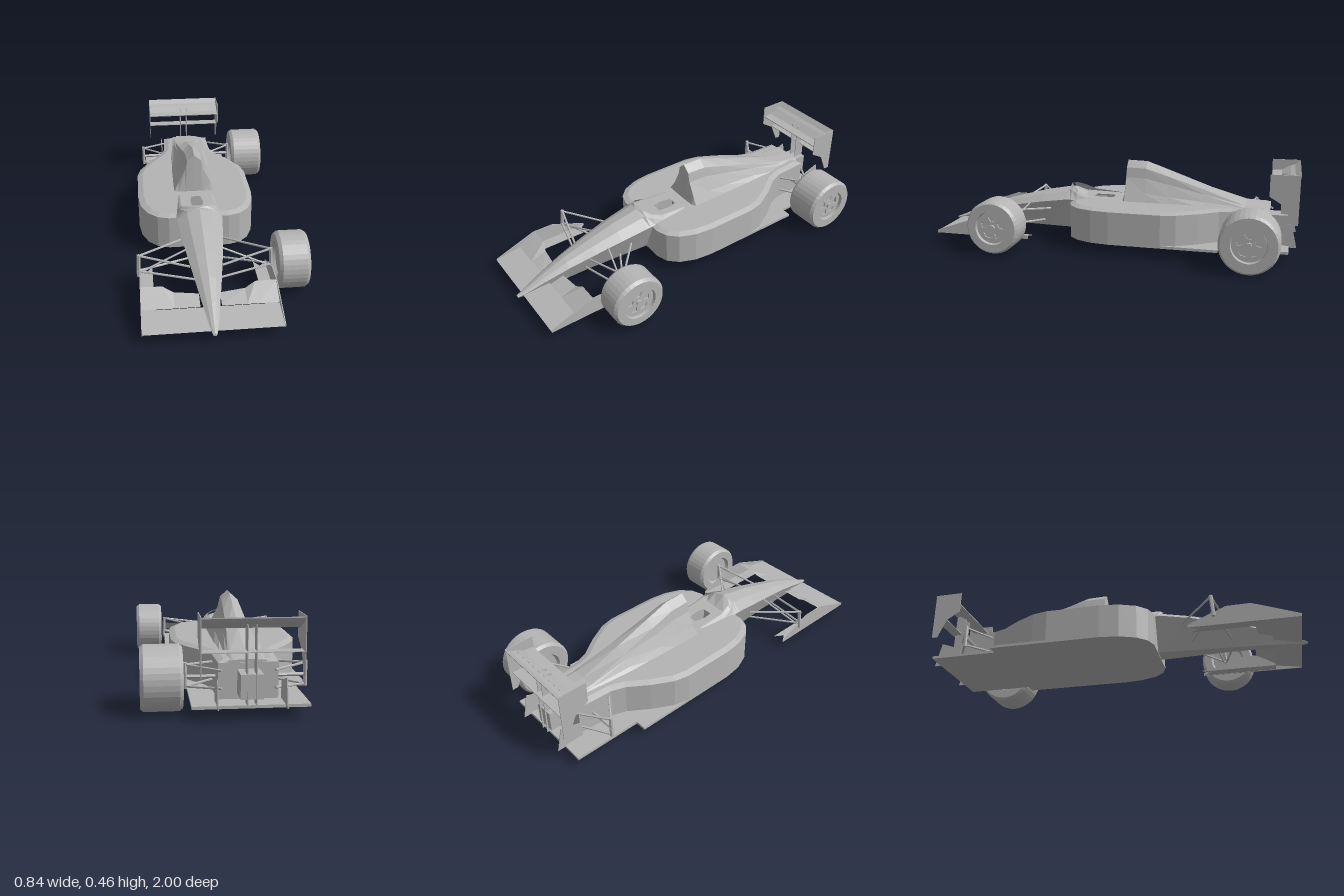
import * as THREE from 'three';

const grey = new THREE.MeshStandardMaterial({ color: 0xb4b4b4, flatShading: true, side: THREE.DoubleSide });
grey.name = 'body grey';

function add(parent, name, geometry, x = 0, y = 0, z = 0) {
  const mesh = new THREE.Mesh(geometry, grey);
  mesh.name = name;
  mesh.position.set(x, y, z);
  parent.add(mesh);
  return mesh;
}

// Skin stretched over cross-sections with equal point counts
function loft(rings, closed, capped) {
  const n = rings[0].length, index = [];
  for (let i = 0; i + 1 < rings.length; i++) {
    for (let j = 0; j < (closed ? n : n - 1); j++) {
      const a = i * n + j, b = i * n + (j + 1) % n;
      index.push(a, b, a + n, b, b + n, a + n);
    }
  }
  if (capped) {
    const last = (rings.length - 1) * n;
    for (let j = 1; j + 1 < n; j++) index.push(0, j + 1, j, last, last + j, last + j + 1);
  }
  const g = new THREE.BufferGeometry();
  g.setAttribute('position', new THREE.Float32BufferAttribute(rings.flat(2), 3));
  g.setIndex(index);
  g.computeVertexNormals();
  return g;
}

// Symmetric outline from its +x half, listed front to back
function mirrored(half) {
  const other = half.map(([x, z]) => [-x, z]).reverse();
  return new THREE.Shape([...half, ...other].map(p => new THREE.Vector2(...p)));
}

// Plan outline (x, z) extruded down from a given top
function planSlab(shape, top, height, bevel) {
  const options = bevel
    ? { depth: height - 0.024, bevelEnabled: true, bevelSize: bevel, bevelOffset: -bevel, bevelThickness: 0.012, bevelSegments: 1 }
    : { depth: height, bevelEnabled: false };
  const g = new THREE.ExtrudeGeometry(shape, options);
  return g.rotateX(Math.PI / 2).translate(0, bevel ? top - 0.012 : top, 0);
}

// Thin upright plate from a side outline (z, y)
function sidePlate(points) {
  const shape = new THREE.Shape(points.map(([z, y]) => new THREE.Vector2(-z, y)));
  return new THREE.ExtrudeGeometry(shape, { depth: 0.004, bevelEnabled: false })
    .translate(0, 0, -0.002).rotateY(Math.PI / 2);
}

function rod(parent, name, from, to, radius = 0.006) {
  const a = new THREE.Vector3(...from), b = new THREE.Vector3(...to);
  const mesh = add(parent, name, new THREE.CylinderGeometry(radius, radius, a.distanceTo(b), 6));
  mesh.position.copy(a).add(b).multiplyScalar(0.5);
  mesh.quaternion.setFromUnitVectors(new THREE.Vector3(0, 1, 0), b.sub(a).normalize());
}

function makeWheel(name, r, width) {
  const wheel = new THREE.Group(), w = width / 2;
  wheel.name = name;
  const profile = [[0, 0.02 - w], [0.08, 0.02 - w], [0.09, -w], [r - 0.012, -w], [r, 0.016 - w],
    [r, w - 0.016], [r - 0.012, w], [0.09, w], [0.083, w - 0.045], [0, w - 0.045]];
  const tyre = new THREE.LatheGeometry(profile.map(p => new THREE.Vector2(...p)), 36);
  add(wheel, 'tyre', tyre.rotateZ(-Math.PI / 2));
  // Rim disc with five openings
  const disc = new THREE.Shape().absarc(0, 0, 0.086, 0, Math.PI * 2);
  for (let i = 0; i < 5; i++) {
    const t = i * Math.PI * 0.4 + Math.PI / 2;
    const corner = (radius, d) => new THREE.Vector2(radius * Math.cos(t + d), radius * Math.sin(t + d));
    disc.holes.push(new THREE.Path([corner(0.034, -0.3), corner(0.06, -0.42), corner(0.066, 0), corner(0.06, 0.42), corner(0.034, 0.3)]));
  }
  const rim = new THREE.ExtrudeGeometry(disc, { depth: 0.008, bevelEnabled: false, curveSegments: 24 });
  add(wheel, 'rim', rim.rotateY(Math.PI / 2), w - 0.024);
  add(wheel, 'wheelNut', new THREE.CylinderGeometry(0.014, 0.016, 0.014, 8).rotateZ(-Math.PI / 2), w - 0.012);
  return wheel;
}

export function createModel() {
  const model = new THREE.Group();
  model.name = 'openWheelRaceCar';
  const car = new THREE.Group();
  car.name = 'car';
  car.position.x = -0.08;
  model.add(car);

  // Floor and side pods
  const front = [[0.16, 0.235], [0.22, 0.215], [0.27, 0.165], [0.305, 0.08], [0.318, -0.02]];
  add(car, 'floor', planSlab(mirrored([...front, [0.318, -0.6], [0.26, -0.6], [0.26, -0.955]]), 0.069, 0.014));
  const podShape = mirrored([...front, [0.318, -0.3], [0.3, -0.38], [0.24, -0.49], [0.17, -0.59], [0.145, -0.66], [0.135, -0.85]]);
  podShape.holes.push(new THREE.Path([[-0.055, 0.16], [0.055, 0.16], [0.065, 0.08], [0.05, -0.01], [-0.05, -0.01], [-0.065, 0.08]]
    .map(p => new THREE.Vector2(...p))));
  add(car, 'sidePods', planSlab(podShape, 0.246, 0.19, 0.03));

  // Nose: [z, half width, top, shoulder, bottom, half keel]
  const nose = [[0.19, 0.12, 0.245, 0.235, 0.06, 0.05], [0.26, 0.12, 0.295, 0.24, 0.06, 0.05],
    [0.42, 0.105, 0.265, 0.215, 0.06, 0.04], [0.57, 0.085, 0.225, 0.185, 0.06, 0.03],
    [0.72, 0.062, 0.182, 0.15, 0.058, 0.025], [0.85, 0.04, 0.13, 0.11, 0.055, 0.02],
    [0.95, 0.022, 0.085, 0.075, 0.052, 0.012], [1.0, 0.01, 0.064, 0.06, 0.054, 0.006]];
  add(car, 'nose', loft(nose.map(([z, w, top, mid, bot, k]) => {
    const high = mid + (top - mid) * 0.68;
    return [[0, top, z], [-w * 0.55, high, z], [-w, mid, z], [-k, bot, z],
      [k, bot, z], [w, mid, z], [w * 0.55, high, z]];
  }), true, true));

  // Cockpit rim sweeping back from the windscreen
  for (const s of [1, -1]) {
    const rim = [[0.27, 0.12, 0, 0.31], [0.25, 0.12, 0.04, 0.306], [0.215, 0.12, 0.08, 0.288], [0.15, 0.115, 0.09, 0.262], [0.0, 0.1, 0.085, 0.25]];
    add(car, 'cockpitRim', loft(rim.map(([z, w, x, y]) => [[s * w, 0.24, z], [s * (w + x) / 2, (y * 2 + 0.24) / 3, z], [s * x, y, z]]), false, false));
  }

  // Engine cover: [z, half width, top, upper roundness]
  const cover = [[-0.045, 0.12, 0.25, 0.33], [-0.06, 0.12, 0.46, 0.33], [-0.17, 0.12, 0.457, 0.36], [-0.3, 0.12, 0.412, 0.4],
    [-0.5, 0.12, 0.341, 0.48], [-0.72, 0.12, 0.264, 0.55], [-0.85, 0.115, 0.248, 0.6]];
  add(car, 'engineCover', loft(cover.map(([z, w, top, k]) => {
    const side = [[k, 0.84], [k + 0.1, 0.6], [0.76, 0.25], [1, 0]];
    const point = ([x, h], s) => [s * w * x, 0.235 + h * (top - 0.235), z];
    return [...side.map(p => point(p, 1)).reverse(), [0, top, z], ...side.map(p => point(p, -1))];
  }), true, true));
  add(car, 'gearbox', new THREE.BoxGeometry(0.1, 0.11, 0.12), 0, 0.15, -0.9);

  // Front wing with a raised flap on each side
  const wing = [[0.97, 0.066], [0.83, 0.088]];
  add(car, 'frontWing', loft(wing.map(([z, y]) => [[-0.323, y, z], [0.323, y, z]]), false, false));
  add(car, 'frontWingUnderside', loft(wing.map(([z, y]) => [[-0.323, y - 0.008, z], [0.323, y - 0.008, z]]), false, false));
  for (const s of [1, -1]) {
    const flap = [[0.323, 0.73, 0.15], [0.22, 0.73, 0.148], [0.17, 0.745, 0.122], [0.05, 0.755, 0.113]];
    add(car, 'frontFlap', loft(flap.map(([x, z, y]) => [[s * x, 0.092, 0.832], [s * x, y, z]]), false, false));
    add(car, 'frontEndPlate', sidePlate([[0.97, 0.055], [0.97, 0.07], [0.74, 0.152], [0.62, 0.15], [0.43, 0.07], [0.43, 0.055]]), s * 0.323);
    const foot = new THREE.Shape([[0.323, 0.83], [0.26, 0.83], [0.26, 0.43], [0.29, 0.475], [0.323, 0.43]].map(([x, z]) => new THREE.Vector2(s * x, z)));
    add(car, 'frontFootPlate', planSlab(foot, 0.062, 0.005));

    // Front suspension
    const hub = [s * 0.325, 0.21, 0.55], low = [s * 0.335, 0.13, 0.56];
    rod(car, 'frontUpperArm', hub, [s * 0.11, 0.18, 0.37]);
    rod(car, 'frontUpperArm', hub, [s * 0.08, 0.17, 0.61]);
    rod(car, 'frontLowerArm', low, [s * 0.07, 0.1, 0.42]);
    rod(car, 'frontLowerArm', low, [s * 0.05, 0.1, 0.62]);
    rod(car, 'frontPushRod', [s * 0.31, 0.12, 0.55], [s * 0.09, 0.2, 0.5], 0.005);
    rod(car, 'frontUpright', [s * 0.325, 0.215, 0.55], [s * 0.33, 0.1, 0.56], 0.01);

    // Rear suspension
    for (const [y, inner] of [[0.21, 0.2], [0.11, 0.12]]) {
      for (const z of [-0.66, -0.86]) rod(car, 'rearArm', [s * 0.275, y, -0.765], [s * 0.12, inner, z]);
    }
    rod(car, 'rearDriveShaft', [s * 0.28, 0.155, -0.765], [s * 0.1, 0.155, -0.77], 0.009);
    rod(car, 'rearUpright', [s * 0.275, 0.22, -0.765], [s * 0.275, 0.1, -0.765], 0.01);

    // Rear wing end plates, pylons and diffuser fins
    add(car, 'rearEndPlate', sidePlate([[-0.845, 0.46], [-0.995, 0.46], [-0.995, 0.2], [-0.965, 0.2], [-0.92, 0.3], [-0.845, 0.345]]), s * 0.222);
    add(car, 'rearPylon', sidePlate([[-0.9, 0.42], [-0.96, 0.42], [-0.97, 0.07], [-0.91, 0.07]]), s * 0.02);
    add(car, 'diffuserFin', sidePlate([[-0.85, 0.06], [-0.85, 0.15], [-0.965, 0.19], [-0.995, 0.06]]), s * 0.15);
  }

  // Rear wing planes
  const planes = [[[-0.85, 0.398], [-0.9, 0.402], [-0.945, 0.428]], [[-0.94, 0.425], [-0.97, 0.436], [-0.998, 0.458]]];
  for (const plane of planes) {
    const ring = x => [...plane.map(([z, y]) => [x, y, z]), ...plane.map(([z, y]) => [x, y - 0.005, z]).reverse()];
    add(car, 'rearWingPlane', loft([ring(-0.222), ring(0.222)], true, false));
  }
  add(car, 'lowerRearWing', new THREE.BoxGeometry(0.444, 0.004, 0.06), 0, 0.305, -0.95);

  // Wheels on the left side
  const frontWheel = makeWheel('frontWheel', 0.143, 0.153);
  frontWheel.position.set(0.342, 0.155, 0.565);
  const rearWheel = makeWheel('rearWheel', 0.152, 0.19);
  rearWheel.position.set(0.304, 0.153, -0.765);
  model.add(frontWheel, rearWheel);
  return model;
}
